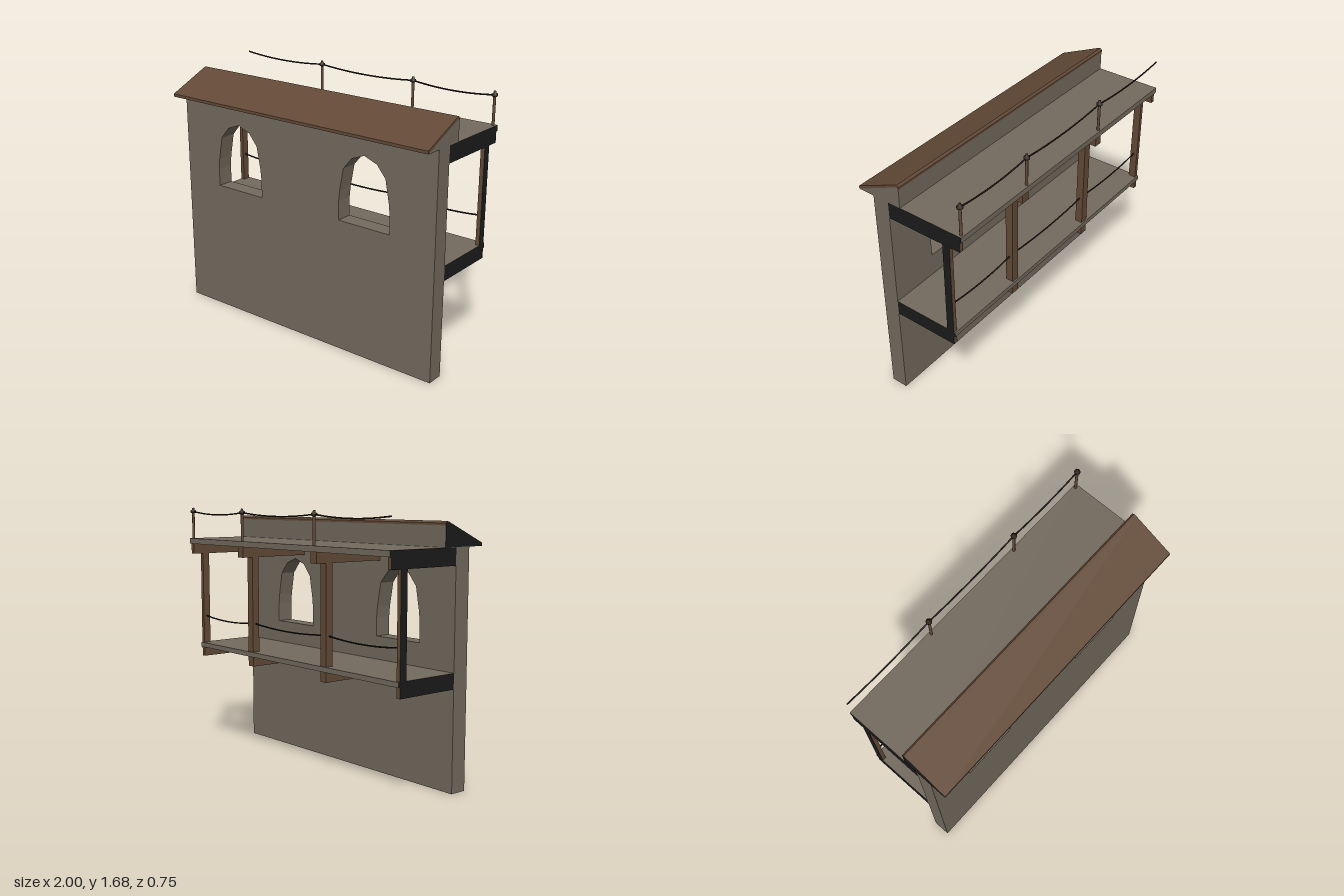
import * as THREE from 'three';

const mat = (name, color) => {
  const m = new THREE.MeshStandardMaterial({ color });
  m.name = name;
  return m;
};

export function createModel() {
  const stone = mat('stone', 0x736a5e);
  const wood = mat('wood', 0x634a37);
  const endBlack = mat('blackEnd', 0x1b1b1c);
  const rope = mat('darkRope', 0x1c1815);
  const iron = mat('darkCap', 0x2e241d);
  const root = new THREE.Group();

  const add = (name, geometry, material, parent = root) => {
    const mesh = new THREE.Mesh(geometry, material);
    mesh.name = name;
    parent.add(mesh);
    return mesh;
  };

  // Box from its limits; faces lying on the cut ends x = -1 and x = 1 are black
  const box = (name, [x0, x1], [y0, y1], [z0, z1], material) => {
    const g = new THREE.BoxGeometry(x1 - x0, y1 - y0, z1 - z0);
    g.translate((x0 + x1) / 2, (y0 + y1) / 2, (z0 + z1) / 2);
    const side = Array(6).fill(material);
    if (x1 > 0.999) side[0] = endBlack;
    if (x0 < -0.999) side[1] = endBlack;
    return add(name, g, side);
  };

  const polygon = (pts) => new THREE.Shape(pts.map(([a, b]) => new THREE.Vector2(a, b)));

  // Profile of [z, y] points carried along the full length
  const alongX = (name, pts, material) => {
    const g = new THREE.ExtrudeGeometry(polygon(pts), { depth: 2, bevelEnabled: false });
    g.rotateY(-Math.PI / 2).translate(1, 0, 0);
    return add(name, g, material);
  };

  // Wall with two faceted arched windows
  const wall = polygon([[-1, 0], [1, 0], [1, 1.467], [-1, 1.467]]);
  const arch = [[0.19, 0.88], [0.19, 1.0], [0.183, 1.07], [0.155, 1.22], [0.092, 1.295]];
  for (const cx of [-0.525, 0.488]) {
    const pts = [...arch, [0, 1.33], ...arch.map(([x, y]) => [-x, y]).reverse()];
    wall.holes.push(polygon(pts.map(([x, y]) => [cx + x, y])));
  }
  const wallGeometry = new THREE.ExtrudeGeometry(wall, { depth: 0.11, bevelEnabled: false });
  add('wall', wallGeometry.translate(0, 0, 0.155), stone);

  // Wedge under the roof, with its black cut end
  const wedge = [[0.365, 1.467], [0.365, 1.473], [0.083, 1.6], [0.066, 1.594], [0.066, 1.467]];
  alongX('parapet', wedge, stone);
  const cut = new THREE.ShapeGeometry(polygon([
    [0.374, 1.468], [0.374, 1.486], [0.092, 1.612], [0.076, 1.617], [0.064, 1.605], [0.064, 1.468],
  ]));
  add('parapetEnd', cut.rotateY(-Math.PI / 2).translate(-1.001, 0, 0), endBlack);

  // Thin sloping roof with a small ridge
  alongX('roof', [
    [0.375, 1.468], [0.375, 1.487], [0.092, 1.613], [0.076, 1.618],
    [0.063, 1.606], [0.063, 1.593], [0.083, 1.598],
  ], wood);

  // Two balcony floors
  box('upperFloor', [-1, 1], [1.43, 1.467], [-0.372, 0.155], stone);
  box('lowerFloor', [-1, 1], [0.7, 0.732], [-0.295, 0.155], stone);

  // Beams and posts; the outermost ones are cut in half
  const spans = [[-1, -0.973], [-0.362, -0.308], [0.387, 0.441], [0.973, 1]];
  for (const x of spans) {
    box('upperBeam', x, [1.36, 1.43], [-0.36, 0.155], wood);
    box('lowerBeam', x, [0.635, 0.7], [-0.284, 0.155], wood);
    box('post', x, [0.732, 1.43], [-0.285, -0.235], wood);
  }

  // Sagging ropes between supports
  const hangRopes = (name, xs, y, z, sag) => {
    for (let i = 0; i < xs.length - 1; i++) {
      const pts = [];
      for (let k = 0; k <= 8; k++) {
        const t = k / 8;
        pts.push(new THREE.Vector3(
          THREE.MathUtils.lerp(xs[i], xs[i + 1], t), y - sag * 4 * t * (1 - t), z));
      }
      add(name, new THREE.TubeGeometry(new THREE.CatmullRomCurve3(pts), 16, 0.005, 6), rope);
    }
  };
  const railX = [-0.335, 0.398, 0.978];
  hangRopes('upperRope', [-1, ...railX], 1.651, -0.355, 0.019);
  hangRopes('lowerRope', [-0.99, -0.335, 0.414, 0.99], 0.922, -0.26, 0.02);

  // Rail stakes with knobs on the upper floor
  const knob = [[0, -0.012], [0.01, -0.012], [0.019, -0.006], [0.019, 0.006], [0.009, 0.012], [0.007, 0.024], [0, 0.026]]
    .map(([r, y]) => new THREE.Vector2(r, y));
  for (const x of railX) {
    const stake = new THREE.Group();
    stake.name = 'railStake';
    stake.position.set(x, 1.467, -0.355);
    add('stakeShaft', new THREE.CylinderGeometry(0.009, 0.009, 0.18, 10).translate(0, 0.09, 0), wood, stake);
    add('stakeKnob', new THREE.LatheGeometry(knob, 10).translate(0, 0.184, 0), iron, stake);
    root.add(stake);
  }

  return root;
}
